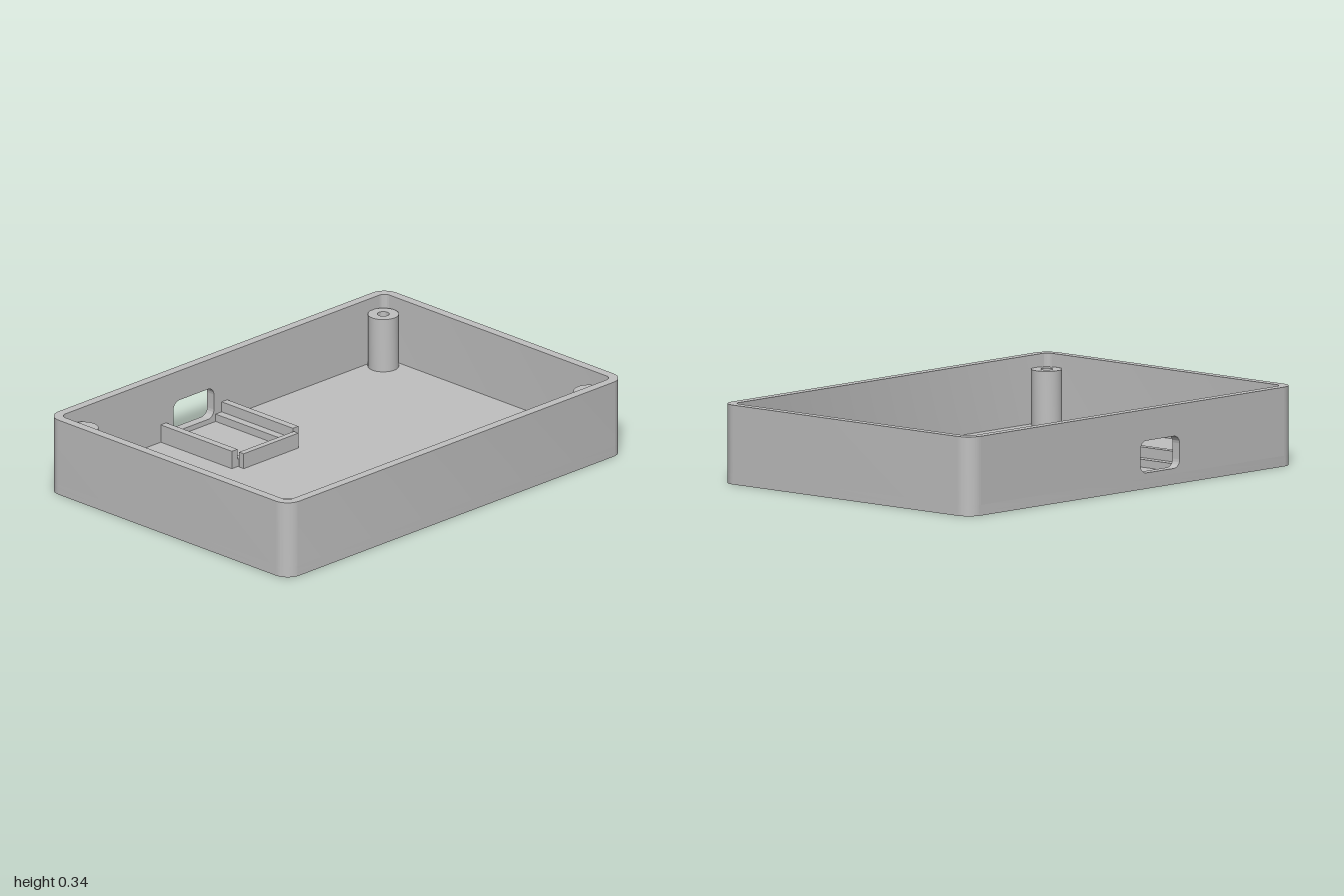
import * as THREE from 'three';
import { toCreasedNormals } from 'three/addons/utils/BufferGeometryUtils.js';

const W = 1, D = 0.708, H = 0.335;          // half width, half depth, height
const WALL = 0.04, R = 0.07, FLOOR = 0.045; // wall thickness, corner radius, floor thickness
const POCKET = 0.02;                        // depth of the foot pockets

function roundedRect(path, cx, cy, hw, hh, r) {
  path.absarc(cx + hw - r, cy + hh - r, r, 0, Math.PI / 2);
  path.absarc(cx - hw + r, cy + hh - r, r, Math.PI / 2, Math.PI);
  path.absarc(cx - hw + r, cy - hh + r, r, Math.PI, Math.PI * 1.5);
  path.absarc(cx + hw - r, cy - hh + r, r, Math.PI * 1.5, Math.PI * 2);
  path.closePath();
  return path;
}

const extrude = (shape, depth) => toCreasedNormals(
  new THREE.ExtrudeGeometry(shape, { depth, bevelEnabled: false, curveSegments: 12 }), 0.5);

// Extrudes a plan outline (x, -z) upward from y0 to y1
const slab = (shape, y0, y1) => extrude(shape, y1 - y0).rotateX(-Math.PI / 2).translate(0, y0, 0);

export function createModel() {
  const group = new THREE.Group();
  group.name = 'enclosure';
  const grey = new THREE.MeshStandardMaterial({ color: 0xc0c0c0 });
  grey.name = 'grey plastic';

  function add(name, geometry, x = 0, y = 0, z = 0) {
    const mesh = new THREE.Mesh(geometry, grey);
    mesh.name = name;
    mesh.position.set(x, y, z);
    group.add(mesh);
  }
  const box = (name, x0, x1, y0, y1, z0, z1) => add(name,
    new THREE.BoxGeometry(x1 - x0, y1 - y0, z1 - z0),
    (x0 + x1) / 2, (y0 + y1) / 2, (z0 + z1) / 2);

  // Floor: lower layer with four round foot pockets, upper layer closed
  const lower = roundedRect(new THREE.Shape(), 0, 0, W, D, R);
  for (const sx of [-1, 1]) for (const sz of [-1, 1]) {
    const pocket = new THREE.Path();
    pocket.absarc(sx * 0.84, sz * 0.54, 0.083, 0, Math.PI * 2, true);
    lower.holes.push(pocket);
  }
  add('floorUnderside', slab(lower, 0, POCKET));
  add('floor', slab(roundedRect(new THREE.Shape(), 0, 0, W, D, R), POCKET, FLOOR));

  // Front and side walls as one open ring, including all rounded corners
  const cx = W - R, cz = D - R, ri = R - WALL, q = Math.PI / 2;
  const ring = new THREE.Shape();
  ring.absarc(cx, cz, R, q, 0, true);
  ring.absarc(cx, -cz, R, 0, -q, true);
  ring.absarc(-cx, -cz, R, -q, -2 * q, true);
  ring.absarc(-cx, cz, R, 2 * q, q, true);
  ring.absarc(-cx, cz, ri, q, 2 * q, false);
  ring.absarc(-cx, -cz, ri, -2 * q, -q, false);
  ring.absarc(cx, -cz, ri, -q, 0, false);
  ring.absarc(cx, cz, ri, 0, q, false);
  ring.closePath();
  add('frontAndSideWalls', slab(ring, FLOOR, H));

  // Back wall with the rounded connector opening
  const back = new THREE.Shape();
  back.moveTo(-cx, FLOOR).lineTo(cx, FLOOR).lineTo(cx, H).lineTo(-cx, H).closePath();
  back.holes.push(roundedRect(new THREE.Path(), -0.17, 0.135, 0.12, 0.068, 0.035));
  add('backWall', extrude(back, WALL), 0, 0, -D);

  // Screw posts with blind holes
  const profile = [[0.065, FLOOR], [0.065, 0.28], [0.025, 0.28], [0.025, 0.05], [0, 0.05]]
    .map(([x, y]) => new THREE.Vector2(x, y));
  const post = toCreasedNormals(new THREE.LatheGeometry(profile, 40), 0.5);
  for (const sx of [-1, 1]) for (const sz of [-1, 1]) add('screwPost', post, sx * 0.89, 0, sz * 0.605);

  // Board holder: side rails with inner ledges, mirrored about its centre, and a front stop
  const mid = -0.168, zBack = -D + WALL, zEnd = -0.25;
  for (const s of [-1, 1]) {
    const span = (a, b) => [mid + s * a, mid + s * b].sort((p, r) => p - r);
    box('boardRail', ...span(0.164, 0.197), FLOOR, 0.123, zBack, zEnd);
    box('boardLedge', ...span(0.128, 0.164), FLOOR, 0.078, zBack, zEnd);
  }
  box('boardStop', mid - 0.162, mid + 0.162, FLOOR, 0.112, -0.242, -0.215);

  return group;
}
